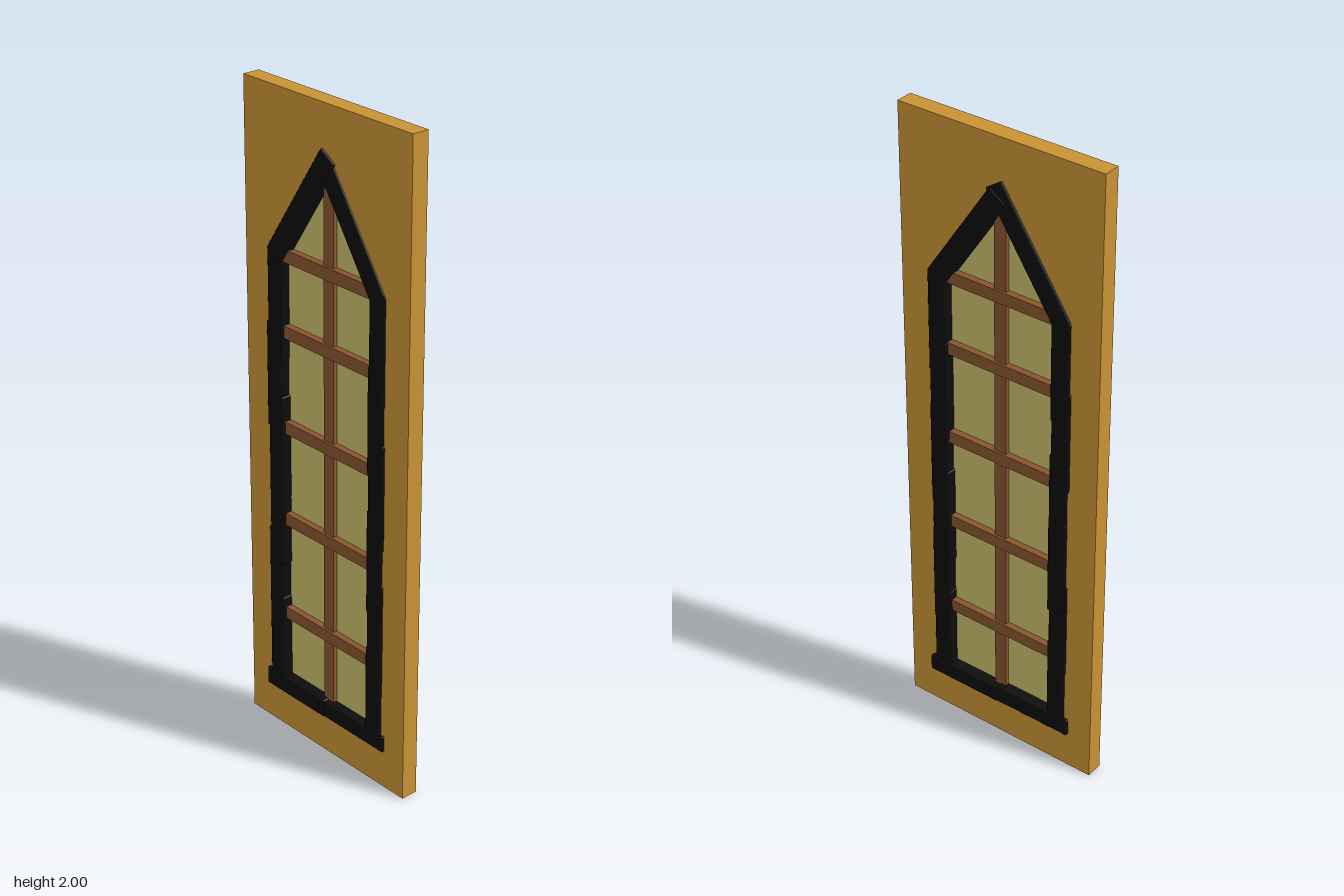
import * as THREE from 'three';
import { RoundedBoxGeometry } from 'three/addons/geometries/RoundedBoxGeometry.js';

const material = (name, color) => {
  const m = new THREE.MeshStandardMaterial({ color });
  m.name = name;
  return m;
};

// Pointed-arch outline shared by the wall opening and the glass
const archPoints = [[-0.205, 0.15], [0.205, 0.15], [0.205, 1.52], [0, 1.82], [-0.205, 1.52]]
  .map(([x, y]) => new THREE.Vector2(x, y));

function extrudeCentred(shape, depth) {
  const g = new THREE.ExtrudeGeometry(shape, { depth, bevelEnabled: false });
  g.translate(0, 0, -depth / 2);
  return g;
}

export function createModel() {
  const model = new THREE.Group();
  model.name = 'archedWindow';
  const wallMat = material('ochre wall', 0xc99234);
  const glassMat = material('yellow glass', 0xc8be69);
  const woodMat = material('brown wood', 0x87552f);
  const stoneMat = material('black stone', 0x0d0d0e);

  const add = (name, geometry, mat, x = 0, y = 0, z = 0, angle = 0) => {
    const mesh = new THREE.Mesh(geometry, mat);
    mesh.name = name;
    mesh.position.set(x, y, z);
    mesh.rotation.z = angle;
    model.add(mesh);
    return mesh;
  };
  const block = (w, h, d) => new RoundedBoxGeometry(w, h, d, 1, 0.004);

  // Wall panel with the window opening
  const wall = new THREE.Shape([[-0.333, 0], [0.333, 0], [0.333, 2], [-0.333, 2]]
    .map(([x, y]) => new THREE.Vector2(x, y)));
  wall.holes.push(new THREE.Path(archPoints));
  add('wall', extrudeCentred(wall, 0.053), wallMat);

  // Glass pane in the middle of the opening
  add('glass', extrudeCentred(new THREE.Shape(archPoints), 0.009), glassMat);

  // Glazing bars
  add('verticalBar', new THREE.BoxGeometry(0.04, 1.65, 0.036), woodMat, 0.003, 0.975);
  for (const y of [1.523, 1.295, 1.0, 0.706, 0.393]) {
    add('horizontalBar', new THREE.BoxGeometry(0.37, 0.038, 0.05), woodMat, 0.003, y);
  }

  // Jambs: overlapping stones, each set slightly off line
  const offsets = {
    '-1': [0.001, -0.003, 0.003, 0.002, -0.003, 0.0],
    '1': [0.002, 0.0, 0.004, -0.001, 0.003, 0.001],
  };
  for (const side of [-1, 1]) {
    offsets[side].forEach((dx, i) => {
      const top = 1.53 - i * 0.217;
      add('jambStone', block(0.06, 0.322, 0.066 + (i % 2) * 0.002), stoneMat,
        side * 0.208 + dx, top - 0.161, (i % 3 - 1) * 0.001);
    });
  }

  // Sloping arch stones meeting at the apex
  const archStone = (name, x1, y1, x2, y2, z) => {
    const dx = x2 - x1, dy = y2 - y1;
    add(name, block(Math.hypot(dx, dy), 0.062, 0.068), stoneMat,
      (x1 + x2) / 2, (y1 + y2) / 2, z, Math.atan2(dy, dx));
  };
  archStone('leftArchStone', 0.211, 1.515, 0.0, 1.832, -0.002);
  archStone('rightArchStone', -0.211, 1.515, 0.015, 1.858, 0.001);

  // Sill in two stones
  add('sillStone', block(0.256, 0.056, 0.075), stoneMat, -0.126, 0.148, 0);
  add('sillStone', block(0.254, 0.052, 0.075), stoneMat, 0.126, 0.146, -0.003);

  return model;
}
